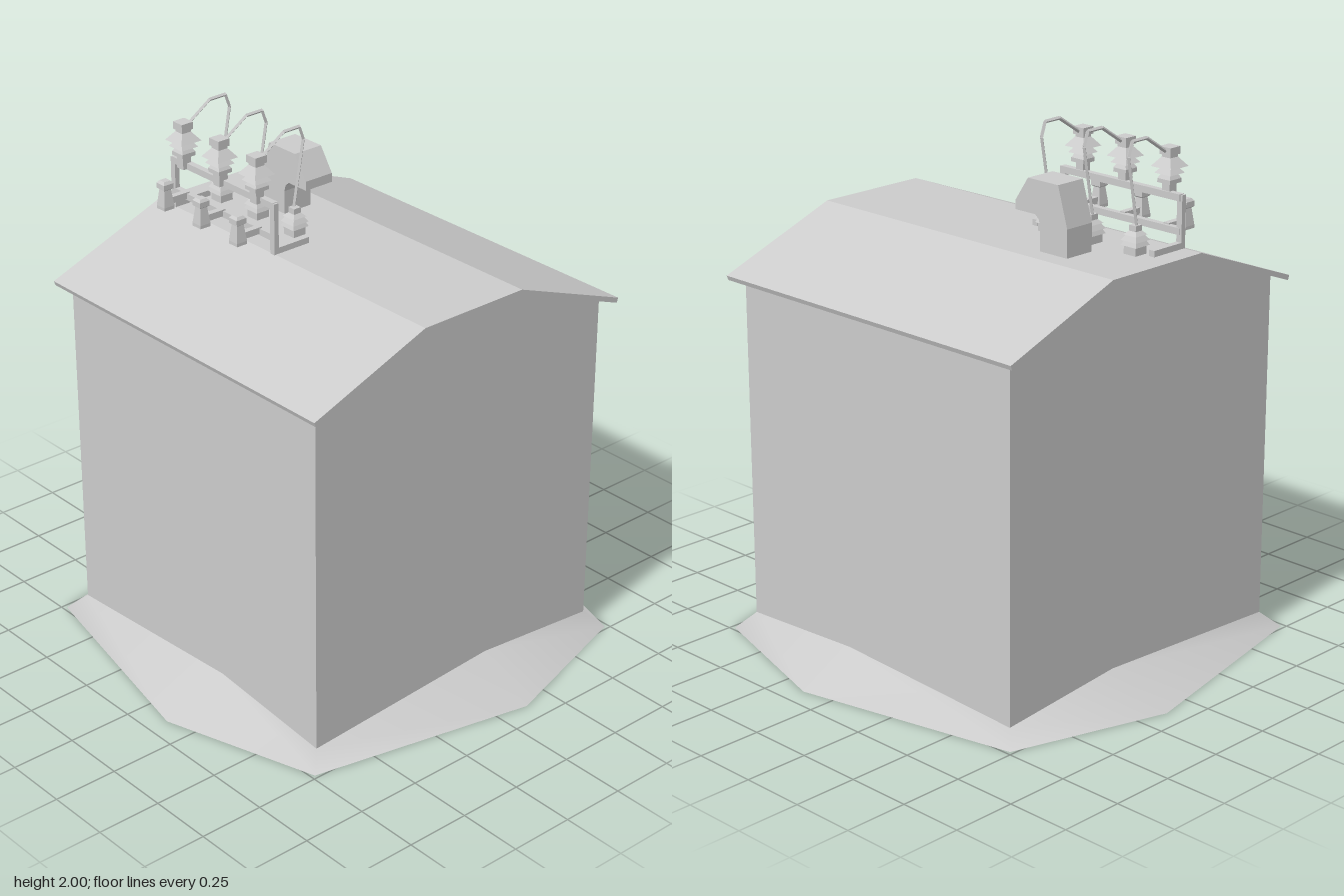
import * as THREE from 'three';

const flat = new THREE.MeshStandardMaterial({ color: 0xcccccc, flatShading: true, side: THREE.DoubleSide });
const smooth = new THREE.MeshStandardMaterial({ color: 0xcccccc, side: THREE.DoubleSide });

function add(parent, name, geometry, material = flat) {
  const mesh = new THREE.Mesh(geometry, material);
  mesh.name = name;
  parent.add(mesh);
  return mesh;
}

// Box given by its minimum and maximum corners
function box(parent, name, x0, x1, y0, y1, z0, z1) {
  const mesh = add(parent, name, new THREE.BoxGeometry(x1 - x0, y1 - y0, z1 - z0));
  mesh.position.set((x0 + x1) / 2, (y0 + y1) / 2, (z0 + z1) / 2);
  return mesh;
}

function extrude(points, depth) {
  const shape = new THREE.Shape(points.map(([x, y]) => new THREE.Vector2(x, y)));
  return new THREE.ExtrudeGeometry(shape, { depth, bevelEnabled: false });
}

// Square stacked profile: pairs of [half width, height]
function squareLathe(parent, name, profile, x, y, z) {
  const points = profile.map(([w, h]) => new THREE.Vector2(w * Math.SQRT2, h));
  const mesh = add(parent, name, new THREE.LatheGeometry(points, 4, Math.PI / 4));
  mesh.position.set(x, y, z);
}

// Straight four-sided rod between two points
function rod(parent, name, a, b, radius) {
  const dir = b.clone().sub(a);
  const mesh = add(parent, name, new THREE.CylinderGeometry(radius, radius, dir.length(), 4));
  mesh.position.copy(a).add(b).multiplyScalar(0.5);
  mesh.quaternion.setFromUnitVectors(new THREE.Vector3(0, 1, 0), dir.normalize());
}

// Sloped earth bank: inner ring on the walls, outer ring on the ground
function bankGeometry() {
  const w = 0.675, c = 0.735, m = 0.92;
  const inner = [[-w, 0.055, w], [0.15, 0.11, w], [w, 0.065, w], [w, 0.09, 0.15],
    [w, 0.05, -w], [0.15, 0.1, -w], [-w, 0.06, -w], [-w, 0.11, 0.15]];
  const outer = [[-c, 0, c], [0.13, 0, m], [c, 0, c], [m, 0, 0.13],
    [c, 0, -c], [0.13, 0, -m], [-c, 0, -c], [-m, 0, 0.13]];
  const index = [];
  for (let i = 0; i < 8; i++) {
    const j = (i + 1) % 8;
    index.push(i, i + 8, j + 8, i, j + 8, j);
  }
  const g = new THREE.BufferGeometry();
  g.setAttribute('position', new THREE.Float32BufferAttribute([...inner, ...outer].flat(), 3));
  g.setIndex(index);
  g.computeVertexNormals();
  return g;
}

// Walls, open underneath, with gables that follow the roof
function addWalls(parent) {
  const w = 0.675, eave = 1.4;
  const gable = [[-w, 0], [w, 0], [w, eave], [0.225, 1.567], [-0.225, 1.567], [-w, eave]];
  const shape = new THREE.ShapeGeometry(new THREE.Shape(gable.map(([x, y]) => new THREE.Vector2(x, y))));
  for (const s of [1, -1]) {
    const end = add(parent, s > 0 ? 'frontWall' : 'backWall', shape);
    end.position.z = s * w;
    end.rotation.y = s > 0 ? 0 : Math.PI;
    const side = add(parent, s > 0 ? 'leftWall' : 'rightWall', new THREE.PlaneGeometry(2 * w, eave));
    side.position.set(s * w, eave / 2, 0);
    side.rotation.y = s * Math.PI / 2;
  }
}

const bigInsulator = [[0, 0], [0.018, 0], [0.018, 0.05], [0.03, 0.05], [0.03, 0.065], [0.02, 0.082],
  [0.038, 0.084], [0.02, 0.106], [0.047, 0.108], [0.02, 0.142], [0.02, 0.152], [0.026, 0.152],
  [0.026, 0.18], [0, 0.18]];
const bushing = [[0, 0], [0.028, 0], [0.028, 0.03], [0.036, 0.032], [0.028, 0.048], [0.036, 0.05],
  [0.024, 0.068], [0.03, 0.07], [0.016, 0.084], [0.016, 0.105], [0, 0.105]];
const smallInsulator = [[0, 0], [0.023, 0], [0.023, 0.012], [0.015, 0.075], [0.022, 0.08],
  [0.022, 0.1], [0.014, 0.11], [0, 0.11]];

// One line: three insulators, a side arm and a bent cable
function addPhase(parent, z) {
  const phase = new THREE.Group();
  phase.name = 'phase';
  phase.position.z = z;
  parent.add(phase);
  squareLathe(phase, 'tallInsulator', bigInsulator, -0.232, 1.76, 0);
  squareLathe(phase, 'bushing', bushing, -0.058, 1.585, 0);
  squareLathe(phase, 'smallInsulator', smallInsulator, -0.322, 1.625, 0);
  box(phase, 'sideArm', -0.32, -0.22, 1.64, 1.665, -0.012, 0.012);
  const path = [[-0.225, 1.915], [-0.105, 1.992], [-0.03, 1.992], [-0.01, 1.94], [-0.055, 1.685]]
    .map(([x, y], i) => new THREE.Vector3(x, y, i * -0.002));
  for (let i = 0; i < path.length - 1; i++) rod(phase, 'cable', path[i], path[i + 1], 0.007);
}

export function createModel() {
  const model = new THREE.Group();
  model.name = 'substation';

  add(model, 'earthBank', bankGeometry(), smooth);
  addWalls(model);

  // Folded roof slab
  const roof = extrude([[-0.715, 1.38], [-0.225, 1.565], [0.225, 1.565], [0.715, 1.38],
    [0.722, 1.398], [0.228, 1.585], [-0.228, 1.585], [-0.722, 1.398]], 1.45);
  add(model, 'roof', roof).position.z = -0.725;

  // Vent hood with an overhanging mouth, profile in z and y
  const hood = extrude([[-0.44, 1.58], [-0.31, 1.58], [-0.31, 1.675], [-0.303, 1.7], [-0.285, 1.715],
    [-0.19, 1.715], [-0.19, 1.75], [-0.25, 1.84], [-0.395, 1.84], [-0.44, 1.69]], 0.125);
  hood.rotateY(-Math.PI / 2);
  add(model, 'ventHood', hood).position.x = 0.155;

  // Insulator frame: posts with feet, joined by two rails
  const frame = new THREE.Group();
  frame.name = 'insulatorFrame';
  model.add(frame);
  for (const z of [-0.068, -0.632]) {
    box(frame, 'post', -0.232, -0.212, 1.58, 1.78, z - 0.012, z + 0.012);
    box(frame, 'foot', -0.212, -0.07, 1.58, 1.608, z - 0.012, z + 0.012);
  }
  for (const y of [1.635, 1.757]) box(frame, 'rail', -0.232, -0.208, y, y + 0.025, -0.635, -0.065);
  for (const z of [-0.15, -0.356, -0.565]) addPhase(frame, z);

  return model;
}
